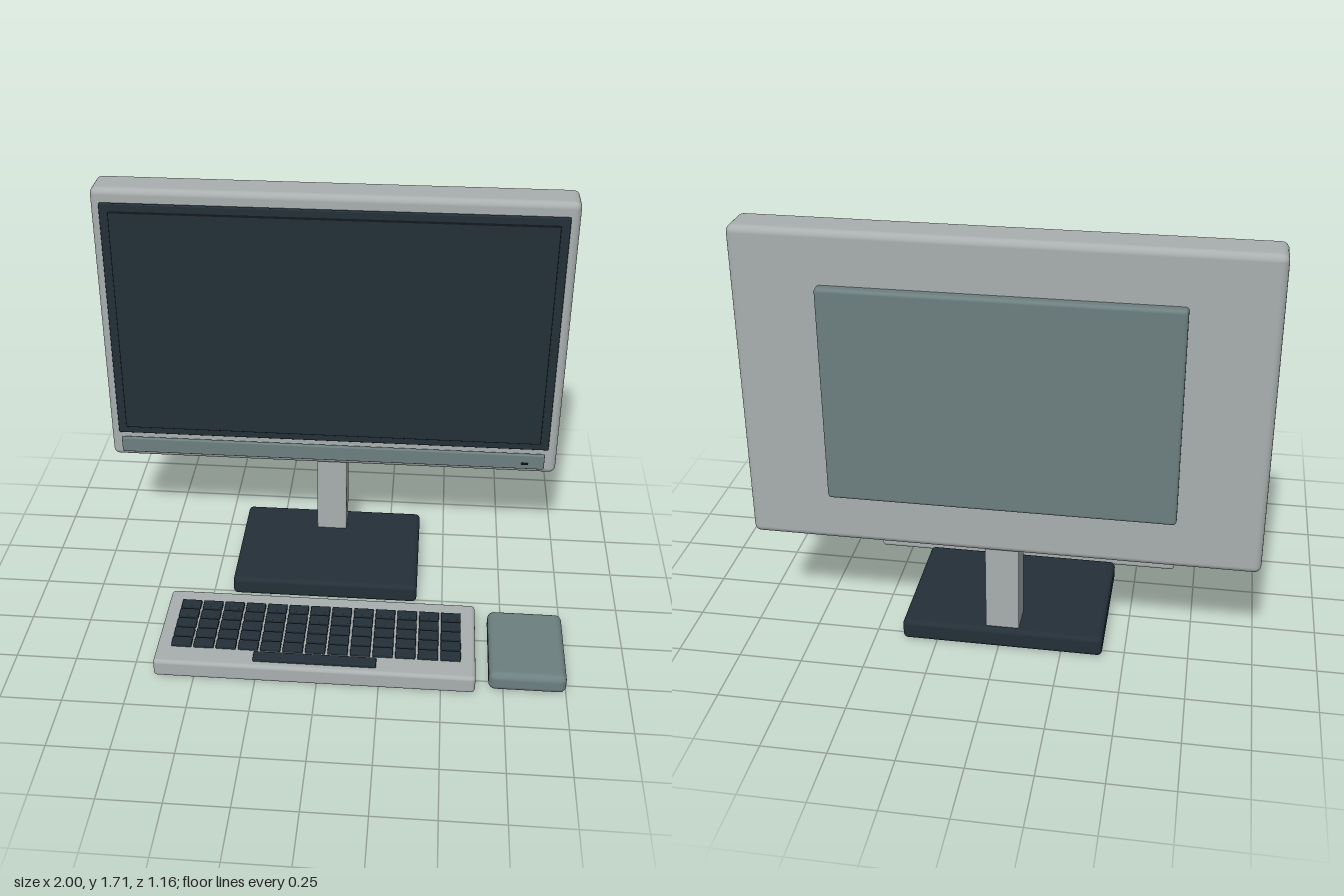
import * as THREE from 'three';
import { RoundedBoxGeometry } from 'three/addons/geometries/RoundedBoxGeometry.js';

const flat = (name, color) => {
  const material = new THREE.MeshStandardMaterial({ color });
  material.name = name;
  return material;
};

export function createModel() {
  const group = new THREE.Group();
  group.name = 'desktopComputer';

  const shellGrey = flat('shell grey', 0xa9afaf);
  const slate = flat('slate', 0x6d7f80);
  const darkBlue = flat('dark blue grey', 0x242f38);

  // Rounded box given by its extents on each axis
  const block = (name, material, [x0, x1], [y0, y1], [z0, z1], radius, parent = group) => {
    const geometry = new RoundedBoxGeometry(x1 - x0, y1 - y0, z1 - z0, 3, radius);
    const mesh = new THREE.Mesh(geometry, material);
    mesh.position.set((x0 + x1) / 2, (y0 + y1) / 2, (z0 + z1) / 2);
    mesh.name = name;
    parent.add(mesh);
    return mesh;
  };

  // Monitor: housing, back cover, bezel, screen, control strip and button
  const monitor = new THREE.Group();
  monitor.name = 'monitor';
  group.add(monitor);
  block('housing', shellGrey, [-1, 0.974], [0.444, 1.713], [-0.54, -0.375], 0.028, monitor);
  block('backCover', slate, [-0.676, 0.65], [0.65, 1.508], [-0.578, -0.52], 0.014, monitor);
  block('bezel', darkBlue, [-0.96, 0.933], [0.578, 1.657], [-0.372, -0.353], 0.005, monitor);
  block('screen', darkBlue, [-0.922, 0.896], [0.614, 1.625], [-0.353, -0.341], 0.003, monitor);
  block('controlStrip', slate, [-0.947, 0.919], [0.488, 0.56], [-0.356, -0.337], 0.006, monitor);
  block('powerButton', darkBlue, [0.818, 0.848], [0.52, 0.527], [-0.33, -0.321], 0.002, monitor);

  // Stand
  block('standNeck', shellGrey, [-0.08, 0.053], [0.06, 0.5], [-0.521, -0.393], 0.008);
  block('standBase', darkBlue, [-0.414, 0.388], [0, 0.085], [-0.545, 0.022], 0.02);

  // Keyboard with a 13 by 5 grid of keys and a space bar
  const keyboard = new THREE.Group();
  keyboard.name = 'keyboard';
  group.add(keyboard);
  block('keyboardCase', shellGrey, [-0.663, 0.637], [0, 0.08], [0.112, 0.578], 0.016, keyboard);
  const keyHeight = [0.07, 0.095];
  for (let row = 0; row < 5; row++) {
    for (let column = 0; column < 13; column++) {
      const x = -0.562 + column * 0.0915;
      const z = 0.216 + row * 0.0605;
      block('key', darkBlue, [x - 0.041, x + 0.041], keyHeight, [z - 0.024, z + 0.024], 0.004, keyboard);
    }
  }
  block('spaceBar', darkBlue, [-0.26, 0.238], keyHeight, [0.5, 0.548], 0.004, keyboard);

  // Mouse
  block('mouse', slate, [0.69, 1], [0, 0.085], [0.143, 0.557], 0.028);

  return group;
}
